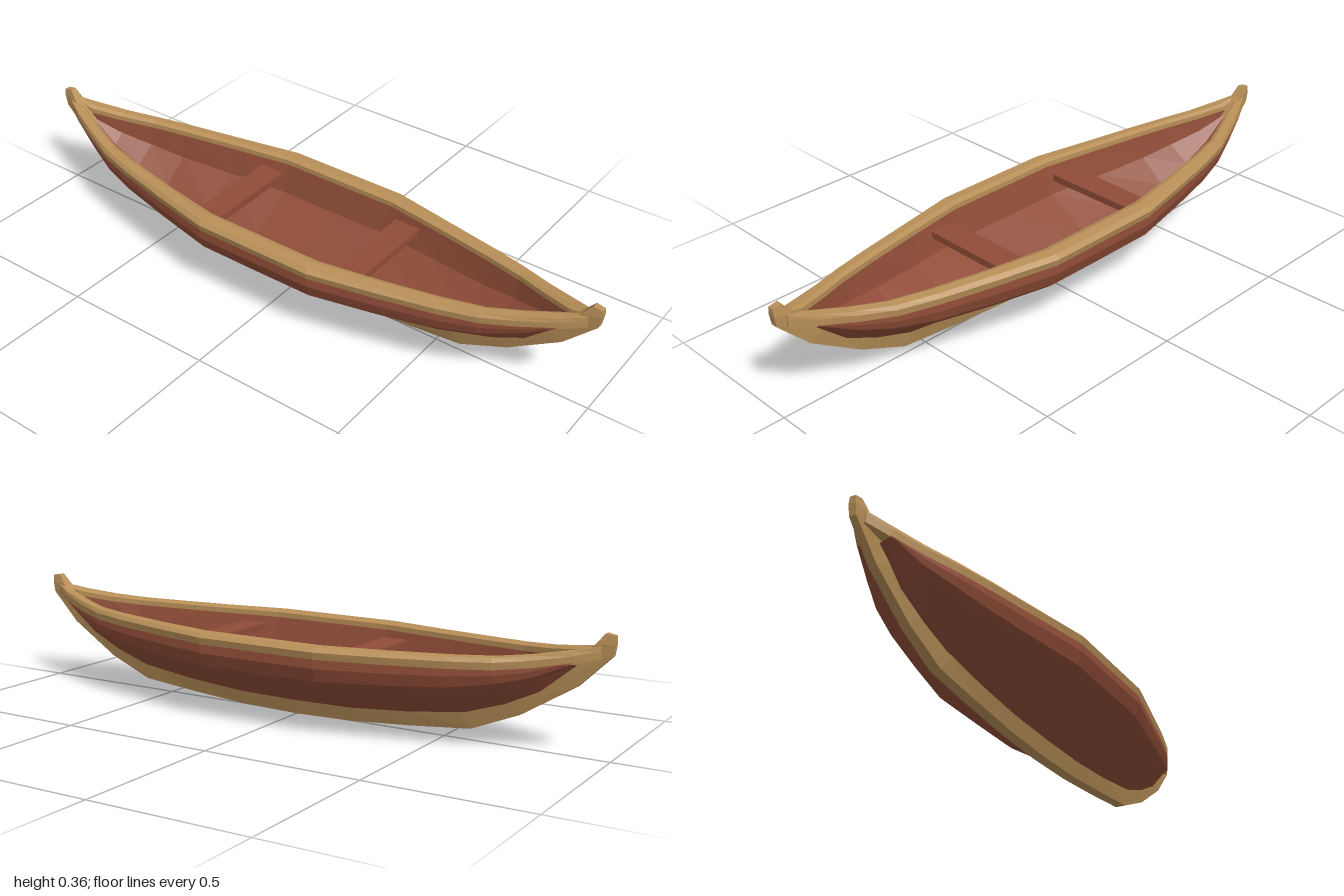
import * as THREE from 'three';

const wood = new THREE.MeshStandardMaterial({ color: 0x8f4c37, flatShading: true });
wood.name = 'red brown wood';
const trim = new THREE.MeshStandardMaterial({ color: 0xb88f58, flatShading: true });
trim.name = 'tan trim';

// Stations of one half: x, outer half-width, inner half-width, rim top, keel top
const stations = [
  [0, 0.25, 0.19, 0.272, 0.047],
  [0.2, 0.25, 0.19, 0.272, 0.05],
  [0.4, 0.208, 0.156, 0.273, 0.066],
  [0.58, 0.168, 0.12, 0.276, 0.09],
  [0.7, 0.135, 0.09, 0.28, 0.13],
  [0.8, 0.094, 0.05, 0.29, 0.178],
  [0.9, 0.053, 0.008, 0.306, 0.262],
  [0.965, 0.02, 0.001, 0.322, 0.287],
];

// Mirrors a list of half stations to run from -x to +x
function bothEnds(list, flip) {
  return [...list.slice(1).reverse().map(flip), ...list];
}
const flipX = ([x, ...rest]) => [-x, ...rest];

// Joins closed sections of [x, y, z] points, with optional end caps
function loft(sections, caps) {
  const out = [];
  const tri = (a, b, c) => out.push(...a, ...b, ...c);
  const n = sections[0].length;
  for (let i = 0; i < sections.length - 1; i++) {
    for (let j = 0; j < n; j++) {
      const k = (j + 1) % n;
      const [s, t] = [sections[i], sections[i + 1]];
      tri(s[j], s[k], t[k]);
      tri(s[j], t[k], t[j]);
    }
  }
  if (caps) {
    const first = sections[0], last = sections[sections.length - 1];
    for (let j = 1; j < n - 1; j++) {
      tri(last[0], last[j], last[j + 1]);
      tri(first[0], first[j + 1], first[j]);
    }
  }
  const g = new THREE.BufferGeometry();
  g.setAttribute('position', new THREE.Float32BufferAttribute(out, 3));
  g.computeVertexNormals();
  return g;
}

// Hull shell: outer planking and inner lining in one loop
function hullSection([x, w, inner, top, keel]) {
  const low = top - 0.03;
  const at = (f) => keel + (low - keel) * f;
  const kw = Math.min(0.034, w * 0.4);
  const floor = Math.min(keel + 0.02, low);
  const side = [[at(1), w * 0.99], [at(0.84), w], [at(0.63), w * 0.94], [at(0.52), w * 0.84], [keel, kw]];
  const lining = [[low + 0.01, inner], [at(0.58), inner * 0.86], [floor, inner * 0.12]];
  const left = ([y, z]) => [x, y, z];
  const right = ([y, z]) => [x, y, -z];
  return [
    ...side.map(left), ...[...side].reverse().map(right),
    ...lining.map(right), ...[...lining].reverse().map(left),
  ];
}

// Rim along one side: s is +1 for left, -1 for right
function rimSection([x, w, inner, top], s) {
  const b = top - 0.035;
  const loop = [
    [b, w * 0.99], [b, inner], [top - 0.004, inner],
    [top + 0.002, inner + (w - inner) * 0.3],
    [top, w * 0.96], [top - 0.012, w * 1.015],
  ];
  if (s < 0) loop.reverse();
  return loop.map(([y, z]) => [x, y, s * z]);
}

// Keel and stem path: outer x, y, inner x, y, outer and inner half-widths
const keelPath = [
  [0, 0, 0, 0.05, 0.018, 0.036],
  [0.2, 0.005, 0.2, 0.054, 0.018, 0.036],
  [0.4, 0.02, 0.39, 0.069, 0.018, 0.035],
  [0.59, 0.038, 0.56, 0.09, 0.017, 0.033],
  [0.74, 0.1, 0.71, 0.137, 0.015, 0.027],
  [0.9, 0.2, 0.86, 0.228, 0.013, 0.022],
  [0.995, 0.295, 0.9, 0.285, 0.011, 0.02],
  [1, 0.33, 0.945, 0.323, 0.012, 0.018],
  [1, 0.352, 0.972, 0.357, 0.009, 0.01],
];
const flipKeel = ([ox, oy, ix, iy, a, b]) => [-ox, oy, -ix, iy, a, b];
const keelSection = ([ox, oy, ix, iy, a, b]) => [
  [ox, oy, a], [ox, oy, -a], [ix, iy, -b], [ix, iy, b],
];

export function createModel() {
  const boat = new THREE.Group();
  boat.name = 'rowingBoat';
  const add = (name, geometry, material) => {
    const mesh = new THREE.Mesh(geometry, material);
    mesh.name = name;
    boat.add(mesh);
    return mesh;
  };

  const all = bothEnds(stations, flipX);
  add('hull', loft(all.slice(1, -1).map(hullSection), false), wood);
  add('leftRim', loft(all.map((p) => rimSection(p, 1)), true), trim);
  add('rightRim', loft(all.map((p) => rimSection(p, -1)), true), trim);
  add('keelAndStems', loft(bothEnds(keelPath, flipKeel).map(keelSection), true), trim);

  // Two plank seats across the hull
  for (const [name, x] of [['rightSeat', -0.245], ['leftSeat', 0.278]]) {
    add(name, new THREE.BoxGeometry(0.086, 0.022, 0.33), wood).position.set(x, 0.222, 0);
  }
  return boat;
}
